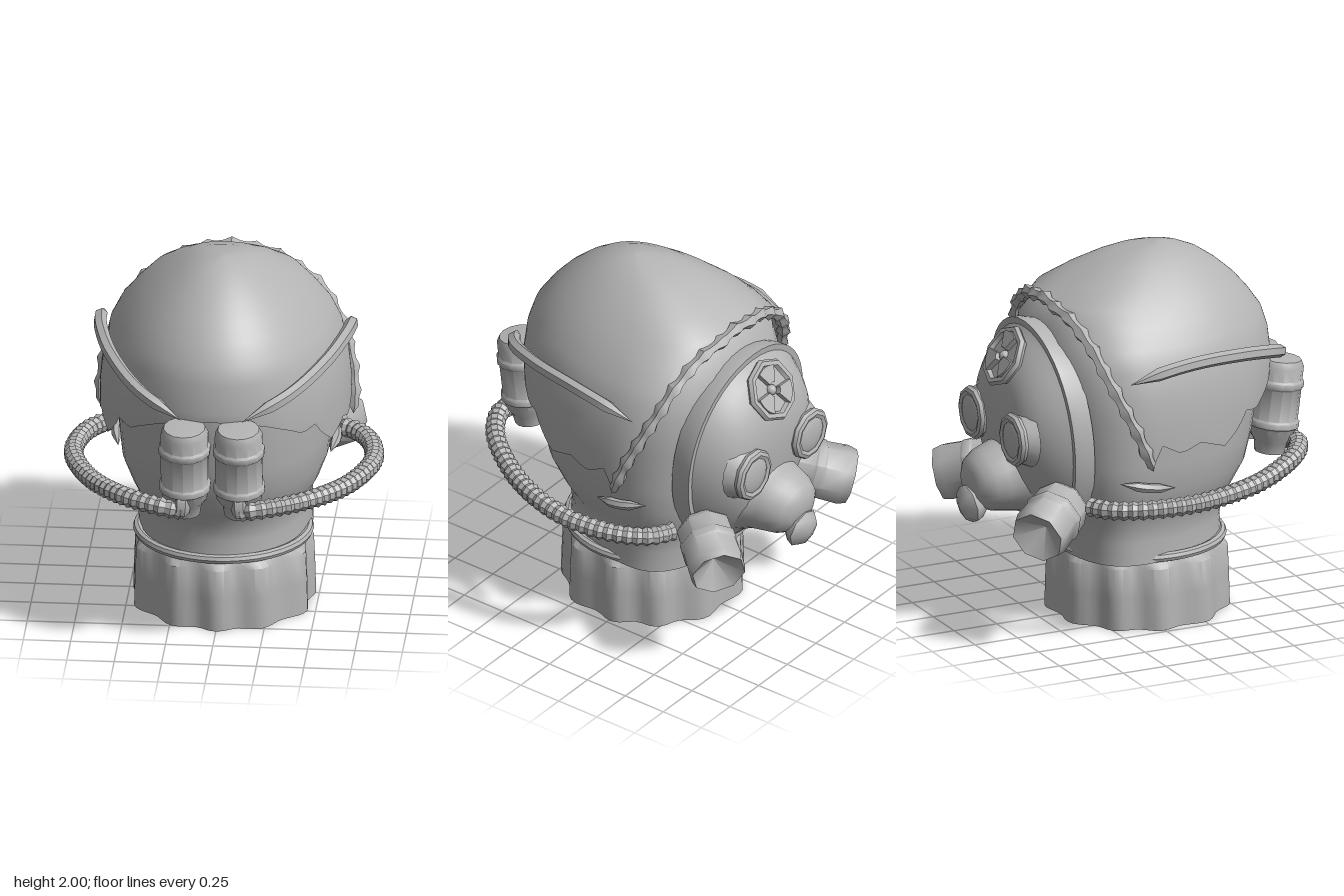
import * as THREE from 'three';
import { toCreasedNormals } from 'three/addons/utils/BufferGeometryUtils.js';

const V = (x, y, z) => new THREE.Vector3(x, y, z);
const TAU = Math.PI * 2;
const grey = new THREE.MeshStandardMaterial({ color: 0xb4b4b4, side: THREE.DoubleSide });
grey.name = 'rubber grey';

function part(name, geometry, parent, crease = 0.7) {
  const mesh = new THREE.Mesh(crease ? toCreasedNormals(geometry, crease) : geometry, grey);
  mesh.name = name;
  parent.add(mesh);
  return mesh;
}

// Surface through a grid of points: fn(column, row), columns closed into a loop
function loft(cols, rows, fn) {
  const pos = [], index = [];
  for (let j = 0; j < rows; j++)
    for (let i = 0; i < cols; i++) pos.push(...fn(i, j).toArray());
  for (let j = 0; j < rows - 1; j++)
    for (let i = 0; i < cols; i++) {
      const a = j * cols + i, b = j * cols + (i + 1) % cols;
      index.push(a, b, a + cols, b, b + cols, a + cols);
    }
  const g = new THREE.BufferGeometry();
  g.setAttribute('position', new THREE.Float32BufferAttribute(pos, 3));
  g.setIndex(index);
  g.computeVertexNormals();
  return g;
}

// Linear lookup in rows sorted by their first entry
function lookup(rows, key) {
  let i = 0;
  while (i < rows.length - 2 && key > rows[i + 1][0]) i++;
  const a = rows[i], b = rows[i + 1];
  const t = THREE.MathUtils.clamp((key - a[0]) / (b[0] - a[0]), 0, 1);
  return a.map((v, k) => v + (b[k] - v) * t);
}

// Egg-shaped horizontal section; angle 0 is the face side (-z)
function section([y, w, back, front], angle, grow = 1) {
  const mid = Math.max(-0.1, back - w * 1.5);
  const s = Math.sin(angle), c = Math.cos(angle);
  const power = c > 0 ? 0.8 : 0.97;
  const x = Math.sign(s) * Math.abs(s) ** power * w;
  const z = c > 0 ? mid - (mid - front) * c ** power : mid + (back - mid) * (-c) ** power;
  return V(x * grow, y, (z - mid) * grow + mid);
}

// Rows: height, half width, back z, front z
const headRings = [
  [0.38, 0.46, 0.52, -0.39], [0.5, 0.455, 0.51, -0.4], [0.6, 0.46, 0.53, -0.42],
  [0.68, 0.5, 0.58, -0.45], [0.8, 0.545, 0.65, -0.48], [0.95, 0.56, 0.69, -0.51],
  [1.2, 0.57, 0.73, -0.54], [1.4, 0.57, 0.74, -0.55], [1.6, 0.51, 0.68, -0.53],
  [1.76, 0.39, 0.55, -0.43], [1.84, 0.25, 0.4, -0.2]];
const hoodRings = [
  [0.95, 0.655, 0.74, -0.5], [1.05, 0.66, 0.76, -0.51], [1.2, 0.66, 0.78, -0.53],
  [1.35, 0.645, 0.795, -0.54], [1.5, 0.61, 0.78, -0.54], [1.6, 0.56, 0.75, -0.53],
  [1.7, 0.485, 0.68, -0.49], [1.78, 0.41, 0.61, -0.46], [1.86, 0.32, 0.52, -0.31],
  [1.93, 0.22, 0.42, -0.16], [1.97, 0.145, 0.33, -0.03], [1.992, 0.075, 0.26, 0.09],
  [2, 0, 0.19, 0.19]];
// Ragged lower edge of the hood: degrees from the face, height
const hoodEdge = [
  [0, 1.78], [25, 1.74], [37, 1.69], [50, 1.6], [63, 1.4], [75, 1.19], [85, 0.97], [90, 1.1],
  [97, 1.04], [105, 1.08], [117, 1.02], [125, 1.1], [129, 1.17], [137, 1.15], [143, 1.19],
  [155, 1.25], [167, 1.29], [180, 1.3]];
const edgeY = (angle) => {
  const d = Math.abs(THREE.MathUtils.radToDeg(angle)) % 360;
  return lookup(hoodEdge, d > 180 ? 360 - d : d)[1];
};

// Tube whose radius follows a rule of the ring number
function cord(points, steps, sides, radius) {
  const curve = new THREE.CatmullRomCurve3(points);
  const frames = curve.computeFrenetFrames(steps);
  return loft(sides, steps + 1, (i, j) => {
    const a = i / sides * TAU, r = radius(j);
    return curve.getPointAt(j / steps)
      .addScaledVector(frames.normals[j], Math.cos(a) * r)
      .addScaledVector(frames.binormals[j], Math.sin(a) * r);
  });
}
const tapered = (points, steps, r) =>
  cord(points, steps, 6, (j) => r * Math.min(1, Math.min(j, steps - j) / 3));

// Turned shape standing on 'from' with its axis along 'dir'
function turned(name, profile, sides, from, dir, parent) {
  const g = new THREE.LatheGeometry(profile.map(([r, y]) => new THREE.Vector2(r, y)), sides);
  const mesh = part(name, g, parent, 0.85);
  mesh.position.copy(from);
  mesh.quaternion.setFromUnitVectors(V(0, 1, 0), dir.normalize());
  return mesh;
}

export function createModel() {
  const model = new THREE.Group();
  model.name = 'maskedHead';

  // Head and the ragged hood over it
  part('head', loft(48, headRings.length, (i, j) => section(headRings[j], i / 48 * TAU)), model, 0);
  part('hood', loft(120, hoodRings.length, (i, j) => {
    const a = i / 120 * TAU;
    return section(lookup(hoodRings, Math.max(hoodRings[j][0], edgeY(a))), a);
  }), model, 0);
  const trim = [];
  for (let d = -85; d <= 85; d += 5) {
    const a = THREE.MathUtils.degToRad(d);
    trim.push(section(lookup(hoodRings, edgeY(a)), a, 1.02));
  }
  part('hoodTrim', cord(trim, 60, 5, (j) => j % 60 ? (j % 3 ? 0.027 : 0.042) : 0), model);

  // Pleated collar, closed below, with a ring on top
  const collarRows = [[0, 0.005], [0.47, 0.005], [0.465, 0.18], [0.458, 0.34], [0.42, 0.39]];
  part('collar', loft(72, collarRows.length, (i, j) => {
    const a = i / 72 * TAU, [r, y] = collarRows[j];
    const k = r ? r + (j < 4 ? 0.02 : 0) * Math.cos(a * 11 + 0.6 * Math.sin(a * 3)) : 0;
    return V(Math.sin(a) * k, y, Math.cos(a) * k + 0.07);
  }), model, 0.8);
  const ring = part('collarRing', new THREE.TorusGeometry(0.45, 0.026, 8, 40), model);
  ring.rotation.x = Math.PI / 2;
  ring.position.set(0, 0.4, 0.065);

  // Domed face mask: skirt, rim, then rings closing to the centre
  const maskRows = [[1, 0.09], [1.03, 0.01], [1.03, -0.03], [0.97, -0.03], [0.93, 0],
    [0.88, 0], [0.8, 0], [0.7, 0], [0.58, 0], [0.4, 0], [0.2, 0], [0, 0]];
  part('mask', loft(48, maskRows.length, (i, j) => {
    const a = i / 48 * TAU, [f, shift] = maskRows[j];
    const y = 1.06 + 0.59 * Math.sin(a) * f;
    const bulge = f > 0.95 ? 0 : 0.255 * (1 - f ** (3 + 1.5 * Math.cos(a) ** 2));
    return V(0.475 * Math.cos(a) * f * (1 + 0.12 * Math.sin(a)), y,
      -0.5 - 0.1 * (y - 1.06) + shift - bulge);
  }), model, 0.6);

  // Muzzle and breathing valve
  const muzzle = turned('muzzle', [[0.27, -0.04], [0.225, 0.03], [0.205, 0.1], [0.185, 0.17],
    [0.15, 0.225], [0.1, 0.255], [0, 0.27]], 24, V(0, 0.84, -0.66), V(0, -0.12, -1), model);
  muzzle.scale.z = 0.9;
  turned('valve', [[0.06, 0], [0.095, 0.04], [0.108, 0.08], [0.08, 0.115], [0, 0.14]], 8,
    V(0, 0.715, -0.835), V(0, -0.2, -1), model);

  // Forehead badge with three raised blades
  const badge = new THREE.Group();
  badge.name = 'foreheadBadge';
  badge.position.set(0, 1.49, -0.705);
  badge.lookAt(0, 1.49 + 0.47, -0.705 - 0.88);
  part('badgeRing', new THREE.TorusGeometry(0.15, 0.024, 6, 8), badge);
  part('badgePlate', new THREE.CircleGeometry(0.15, 8), badge);
  part('badgeHub', new THREE.SphereGeometry(0.03, 10, 8), badge, 0);
  for (let k = 0; k < 3; k++) {
    const mid = Math.PI / 2 + k * TAU / 3, blade = new THREE.Shape();
    blade.absarc(0, 0, 0.13, mid - 0.5, mid + 0.5, false);
    blade.absarc(0, 0, 0.04, mid + 0.5, mid - 0.5, true);
    part('badgeBlade', new THREE.ExtrudeGeometry(blade, { depth: 0.03, bevelEnabled: false, curveSegments: 5 }), badge);
  }
  model.add(badge);

  for (const s of [1, -1]) {
    const mirrored = (points) => points.map(([x, y, z]) => V(s * x, y, z));

    // Eyepiece: ring, domed lens and a shallow socket
    const eye = new THREE.Group();
    eye.name = 'eyepiece';
    eye.position.set(s * 0.245, 1.11, -0.77);
    eye.rotation.y = Math.PI;
    part('eyeRing', new THREE.TorusGeometry(0.118, 0.027, 8, 10), eye);
    const lens = part('lens', new THREE.SphereGeometry(0.115, 16, 10), eye, 0);
    lens.scale.z = 0.3;
    const socket = part('eyeSocket', new THREE.CylinderGeometry(0.12, 0.16, 0.08, 16, 1, true), eye);
    socket.rotation.x = Math.PI / 2;
    socket.position.z = -0.04;
    model.add(eye);

    // Filter drum with a deep hollow end
    turned('filter', [[0, -0.04], [0.12, -0.04], [0.15, 0], [0.152, 0.09], [0.16, 0.1], [0.16, 0.14],
      [0.153, 0.15], [0.158, 0.26], [0.145, 0.31], [0, 0.2]], 8,
      V(s * 0.395, 0.755, -0.56), V(s * 0.185, -0.085, -0.24), model);

    // Back canister with bands
    turned('canister', [[0, 0], [0.08, 0], [0.09, 0.06], [0.12, 0.1], [0.125, 0.14], [0.138, 0.15],
      [0.138, 0.18], [0.128, 0.19], [0.128, 0.36], [0.138, 0.37], [0.138, 0.4], [0.127, 0.41],
      [0.127, 0.48], [0.11, 0.515], [0, 0.525]], 14, V(s * 0.143, 0.78, 0.775), V(0, 1, 0.13), model);

    // Corrugated hose from the canister round to the filter
    part('hose', cord(mirrored([[0.14, 0.83, 0.88], [0.25, 0.85, 0.885], [0.45, 0.85, 0.77],
      [0.66, 0.82, 0.48], [0.77, 0.81, 0.2], [0.79, 0.8, 0], [0.74, 0.79, -0.24],
      [0.64, 0.78, -0.39], [0.5, 0.77, -0.46]]), 72, 9, (j) => j % 72 ? (j % 2 ? 0.054 : 0.042) : 0), model, 0.3);
    part('hoseSocket', tapered(mirrored([[0.15, 0.95, 0.87], [0.155, 0.84, 0.89], [0.17, 0.8, 0.85]]), 10, 0.045), model);

    // Straps round the hood and at the cheek
    part('hoodStrap', tapered(mirrored([[0.16, 1.33, 0.845], [0.4, 1.43, 0.68], [0.56, 1.5, 0.41],
      [0.64, 1.525, 0.12], [0.66, 1.51, -0.08], [0.655, 1.465, -0.29]]), 24, 0.036), model);
    part('cheekStrap', tapered(mirrored([[0.56, 0.82, 0.02], [0.58, 0.85, -0.15], [0.55, 0.885, -0.3]]), 10, 0.026), model);
  }
  return model;
}
